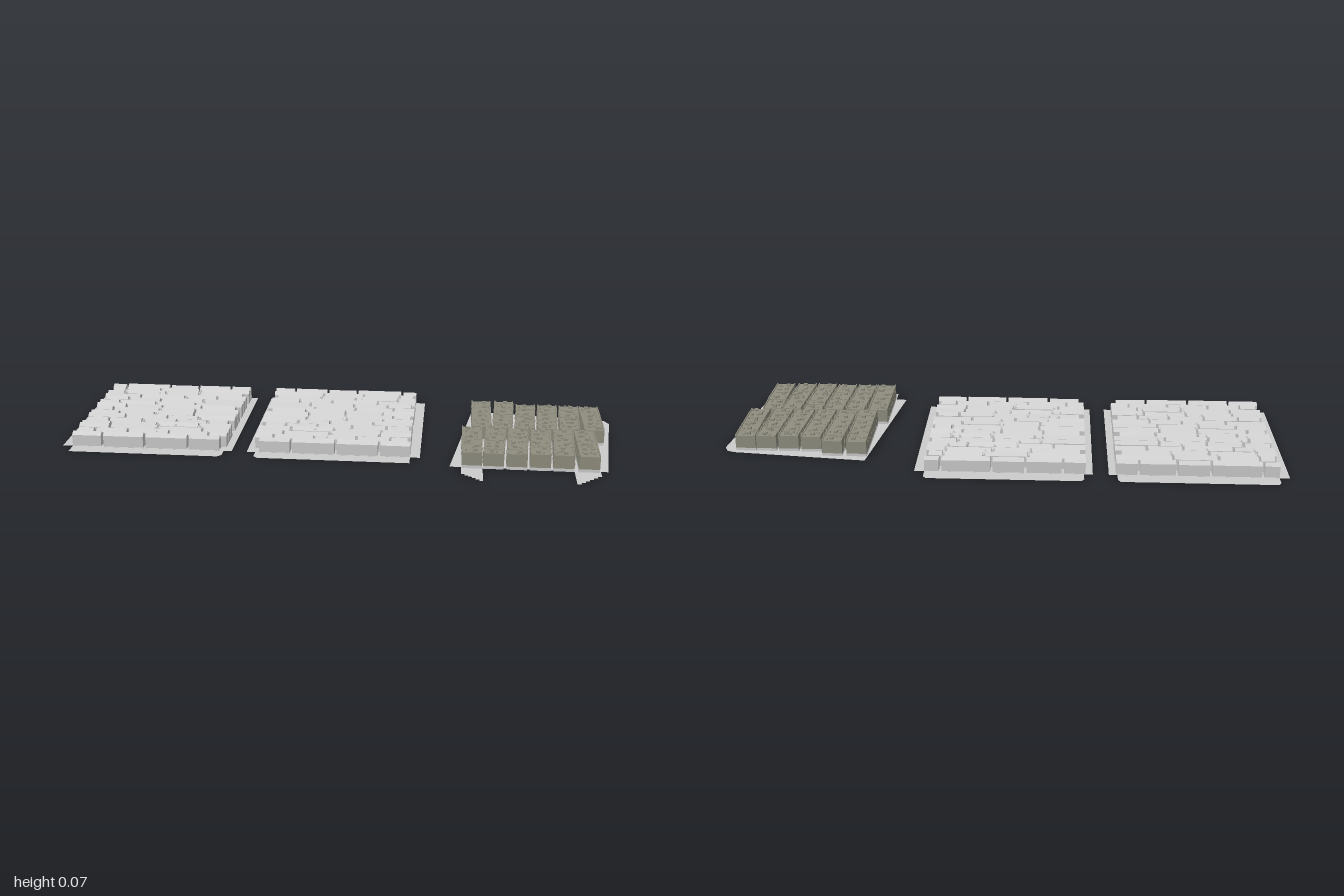
import * as THREE from 'three';
import { mergeGeometries } from 'three/addons/utils/BufferGeometryUtils.js';

const grey = new THREE.MeshStandardMaterial({ color: 0xcccccc, flatShading: true });
const ground = new THREE.MeshStandardMaterial({ color: 0xcccccc, side: THREE.DoubleSide });
const olive = new THREE.MeshStandardMaterial({ color: 0x8f8d7e, flatShading: true });

function seeded(seed) {
  return () => {
    seed = (seed * 16807) % 2147483647;
    return seed / 2147483647;
  };
}

function addMesh(parent, name, geometry, material) {
  const mesh = new THREE.Mesh(geometry, material);
  mesh.name = name;
  parent.add(mesh);
  return mesh;
}

// box given by centre x/z, base height and size
function box(x, y, z, w, h, d) {
  return new THREE.BoxGeometry(w, h, d).translate(x, y + h / 2, z);
}

// house with its ridge along x
function gableHouse(x, z, length, depth, eaves, ridge) {
  const h = depth / 2;
  const profile = new THREE.Shape([
    [-h, 0], [h, 0], [h, eaves], [0, ridge], [-h, eaves],
  ].map(([a, b]) => new THREE.Vector2(a, b)));
  return new THREE.ExtrudeGeometry(profile, { depth: length, bevelEnabled: false })
    .translate(0, 0, -length / 2).rotateY(Math.PI / 2).translate(x, 0, z);
}

// flat outline on the ground, points as [x, z]
function groundPlate(points, y) {
  const shape = new THREE.Shape(points.map(([x, z]) => new THREE.Vector2(x, -z)));
  return new THREE.ShapeGeometry(shape).rotateX(-Math.PI / 2).translate(0, y, 0);
}

// rows of pitched-roof terraces; side = -1 mirrors the layout
function terraceQuarter(name, centreX, side) {
  const group = new THREE.Group();
  group.name = name;
  const rand = seeded(417);
  const half = 0.28, rows = 15, zBack = -0.37, pitch = 0.59 / rows;
  const houses = [], links = [];
  for (let r = 0; r < rows; r++) {
    const z = zBack + pitch * (r + 0.5);
    // joints between the houses of this row, staggered from row to row
    const cuts = [-half + (r % 3 === 1 ? 0.012 : 0)];
    if (r === rows - 1) cuts.push(-0.165, -0.01, 0.15);
    else {
      let x = -half + 0.06 + 0.09 * rand();
      while (x < half - 0.06) {
        cuts.push(x);
        x += 0.11 + 0.08 * rand();
      }
    }
    cuts.push(half - (r % 4 === 2 ? 0.02 : 0));
    for (let i = 0; i + 1 < cuts.length; i++) {
      const a = cuts[i], b = cuts[i + 1] - (i + 2 < cuts.length ? 0.009 : 0);
      const edge = r === 0 || r === rows - 1;
      const shift = edge ? 0 : (rand() - 0.5) * 0.012;
      houses.push(gableHouse(centreX + side * (a + b) / 2, z + shift, b - a,
        0.031 + 0.003 * rand(), 0.042 + 0.002 * rand(), 0.052 + 0.003 * rand()));
      // narrow cross house bridging two rows
      if (i > 0 && r > 0 && r < rows - 2 && rand() < 0.5) {
        const link = gableHouse(0, 0, pitch * 1.4, 0.017, 0.043, 0.05)
          .rotateY(Math.PI / 2).translate(centreX + side * a, 0, z + pitch / 2);
        links.push(link);
      }
    }
  }
  addMesh(group, 'terracedHouses', mergeGeometries(houses), grey);
  addMesh(group, 'crossHouses', mergeGeometries(links), grey);

  // pavement plates: one wide, one deep with clipped corners
  const at = (pts) => pts.map(([x, z]) => [centreX + side * x, z]);
  addMesh(group, 'widePavement', groundPlate(at([
    [-0.315, -0.37], [0.305, -0.37], [0.305, 0.22], [-0.315, 0.22],
  ]), 0.002), ground);
  addMesh(group, 'deepPavement', groundPlate(at([
    [-0.28, -0.405], [-0.27, -0.42], [0.265, -0.42], [0.275, -0.405],
    [0.275, 0.255], [0.26, 0.27], [-0.28, 0.27],
  ]), 0), ground);
  return group;
}

// flat-roofed blocks in tight columns
function blockQuarter() {
  const group = new THREE.Group();
  group.name = 'flatRoofQuarter';
  const rand = seeded(91);
  const walls = [], roofs = [], plinths = [], balconies = [];

  const bands = [
    { x0: 0.473, x1: 0.96, z0: -0.222, z1: 0.034, units: 6 },
    { x0: 0.437, x1: 0.92, z0: 0.04, z1: 0.298, units: 6 },
  ];
  bands.forEach((band, bandIndex) => {
    const columns = 6, w = (band.x1 - band.x0) / columns;
    for (let c = 0; c < columns; c++) {
      const extra = bandIndex === 0 && c < 2;
      const zStart = extra ? -0.255 : band.z0;
      const d = (band.z1 - zStart) / band.units;
      for (let u = 0; u < band.units; u++) {
        const outer = c === 0 || c === columns - 1;
        const lean = outer ? 0 : (0.5 - u / (band.units - 1)) * 0.012;
        const x = band.x0 + w * (c + 0.5) + lean;
        const z = zStart + d * (u + 0.5);
        const h = 0.057 + 0.003 * rand();
        const bw = w - 0.009, bd = d - (u % 2 ? 0.003 : 0.0005);
        plinths.push(box(x, 0, z, bw, 0.011, bd));
        walls.push(box(x, 0.011, z, bw, h - 0.011, bd));
        // parapets along the long edges
        for (const s of [-1, 1]) {
          roofs.push(box(x + s * (bw / 2 - 0.002), h, z, 0.004, 0.004, bd));
          balconies.push(box(x + s * bw / 2, 0.02 + 0.025 * rand(),
            z + (rand() - 0.5) * d * 0.6, 0.004, 0.005, 0.007));
        }
        // rooftop stair heads, tanks and vents
        roofs.push(box(x + (rand() - 0.5) * 0.03, h, z + (rand() - 0.5) * 0.01, 0.014, 0.008, 0.012));
        for (let k = 0; k < 3; k++) {
          roofs.push(box(x + (rand() - 0.5) * 0.055, h, z + (rand() - 0.5) * 0.028, 0.007, 0.005, 0.006));
        }
      }
    }
  });
  addMesh(group, 'blockPlinths', mergeGeometries(plinths), grey);
  addMesh(group, 'blockWalls', mergeGeometries(walls), olive);
  addMesh(group, 'roofFittings', mergeGeometries(roofs), olive);
  addMesh(group, 'balconies', mergeGeometries(balconies), olive);

  // skewed pavement with two stepped tongues at the front
  const steps = (x0, x1, z0, z1) => {
    const pts = [];
    for (let i = 0; i < 6; i++) {
      const x = x0 + (x1 - x0) * i / 6, z = z0 + (z1 - z0) * (i + 1) / 6;
      pts.push([x, z], [x0 + (x1 - x0) * (i + 1) / 6, z]);
    }
    return pts;
  };
  addMesh(group, 'skewedPavement', groundPlate([
    [0.48, -0.29], [0.955, -0.24], [0.985, -0.23], [1, -0.2], [0.945, 0.29], [0.4, 0.29],
  ], 0.001), ground);
  addMesh(group, 'leftTongue', groundPlate(
    [[0.92, 0.28], [0.92, 0.32], ...steps(0.92, 0.83, 0.32, 0.405), [0.83, 0.28]], 0), ground);
  addMesh(group, 'rightTongue', groundPlate(
    [[0.44, 0.28], [0.44, 0.34], ...steps(0.44, 0.515, 0.34, 0.405), [0.515, 0.28]], 0), ground);
  return group;
}

export function createModel() {
  const model = new THREE.Group();
  model.name = 'townQuarters';
  model.add(terraceQuarter('rightTerraces', -0.685, 1));
  model.add(terraceQuarter('middleTerraces', -0.02, -1));
  model.add(blockQuarter());
  return model;
}
